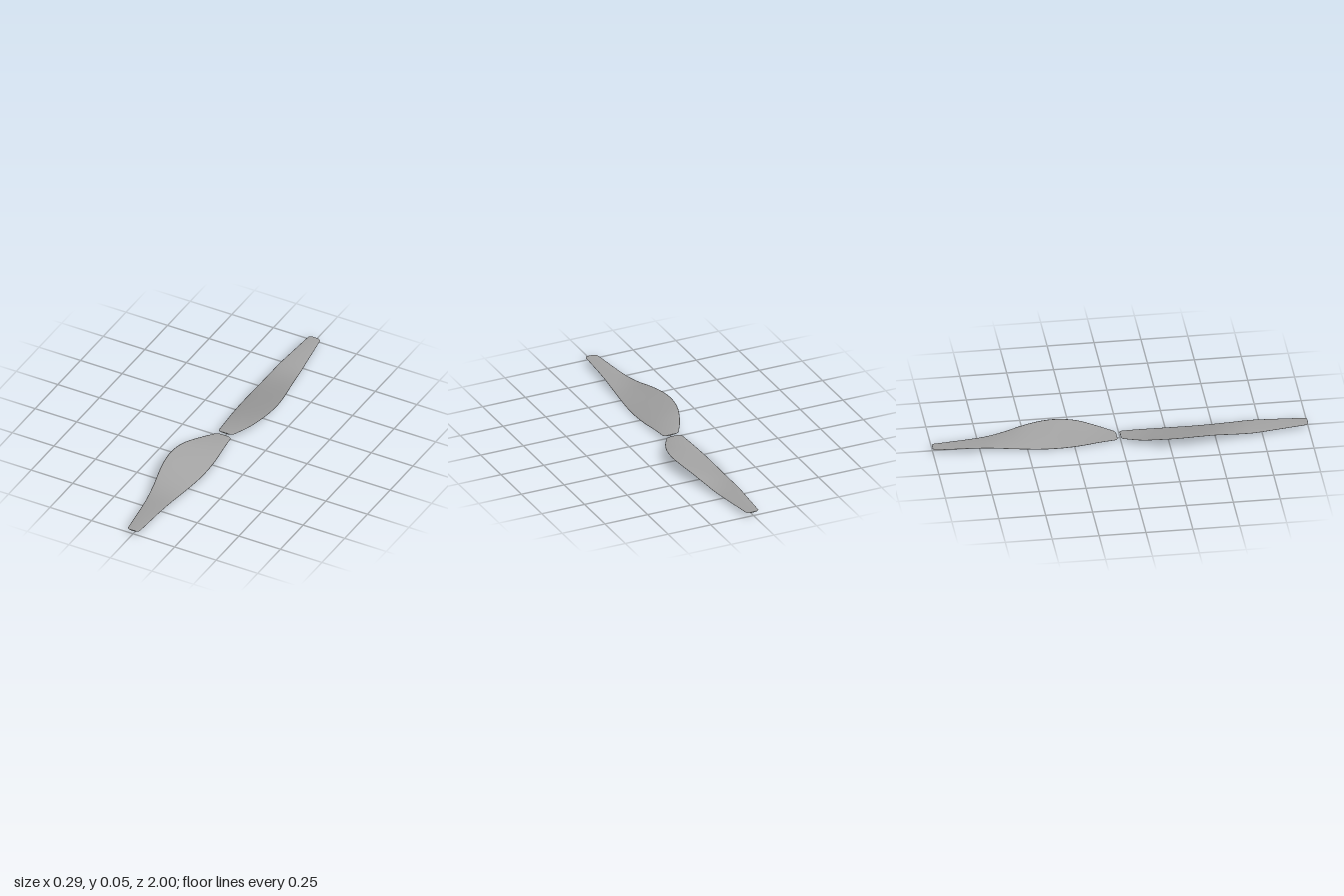
import * as THREE from 'three';

// Outer and inner edge of a blade as [x, y], at even steps from root to tip
const broadEdge = [
  [-0.04, 0.016], [-0.095, 0.03], [-0.132, 0.047], [-0.146, 0.0545], [-0.139, 0.0535], [-0.12, 0.044],
  [-0.098, 0.028], [-0.08, 0.017], [-0.064, 0.0165], [-0.05, 0.018], [-0.036, 0.02],
];
const narrowEdge = [
  [0.046, 0.0145], [0.055, 0.0105], [0.065, 0.004], [0.07, 0.0005], [0.069, 0.001], [0.064, 0.006],
  [0.058, 0.0135], [0.052, 0.0215], [0.045, 0.023], [0.039, 0.0225], [0.033, 0.022],
];

const edgeCurve = (pts) =>
  new THREE.CatmullRomCurve3(pts.map(([x, y]) => new THREE.Vector3(x, y, 0)), false, 'catmullrom', 0.5);

// Twisted blade: thin elliptical sections lofted along z, corners rounded at both ends
function bladeGeometry(zRoot, zTip) {
  const SPAN = 72, RING = 28, CORNER = 0.016, HALF_THICK = 0.0022;
  const left = edgeCurve(broadEdge), right = edgeCurve(narrowEdge);
  const positions = [], index = [];

  const addRing = (t, closed) => {
    const a = left.getPoint(t), b = right.getPoint(t);
    const d = Math.min(t, 1 - t, CORNER);
    const inset = CORNER - Math.sqrt(CORNER ** 2 - (CORNER - d) ** 2);
    const mid = a.clone().add(b).multiplyScalar(0.5);
    const half = b.clone().sub(a).multiplyScalar(0.5);
    half.multiplyScalar(closed ? 0 : 1 - inset / half.length());
    for (let j = 0; j < RING; j++) {
      const ang = (j / RING) * Math.PI * 2, c = Math.cos(ang);
      positions.push(
        mid.x + half.x * c,
        mid.y + half.y * c + (closed ? 0 : HALF_THICK * Math.sin(ang)),
        zRoot + (zTip - zRoot) * t,
      );
    }
  };

  // Collapsed first and last rings close the ends
  addRing(0, true);
  for (let i = 0; i <= SPAN; i++) addRing((1 - Math.cos((Math.PI * i) / SPAN)) / 2, false);
  addRing(1, true);

  for (let k = 0; k < SPAN + 2; k++) {
    for (let j = 0; j < RING; j++) {
      const n = (j + 1) % RING;
      const p = k * RING + j, q = k * RING + n;
      index.push(p, q, p + RING, q, q + RING, p + RING);
    }
  }
  const geo = new THREE.BufferGeometry();
  geo.setAttribute('position', new THREE.Float32BufferAttribute(positions, 3));
  geo.setIndex(index);
  geo.computeVertexNormals();
  return geo;
}

export function createModel() {
  const group = new THREE.Group();
  group.name = 'propeller';
  const material = new THREE.MeshStandardMaterial({ color: 0xa4a4a4 });

  const frontBlade = new THREE.Mesh(bladeGeometry(0.002, 1), material);
  frontBlade.name = 'frontBlade';

  // Opposite blade, turned half a revolution, its root set slightly further out
  const backBlade = new THREE.Mesh(bladeGeometry(0.018, 1), material);
  backBlade.name = 'backBlade';
  backBlade.rotation.y = Math.PI;

  group.add(frontBlade, backBlade);
  return group;
}
